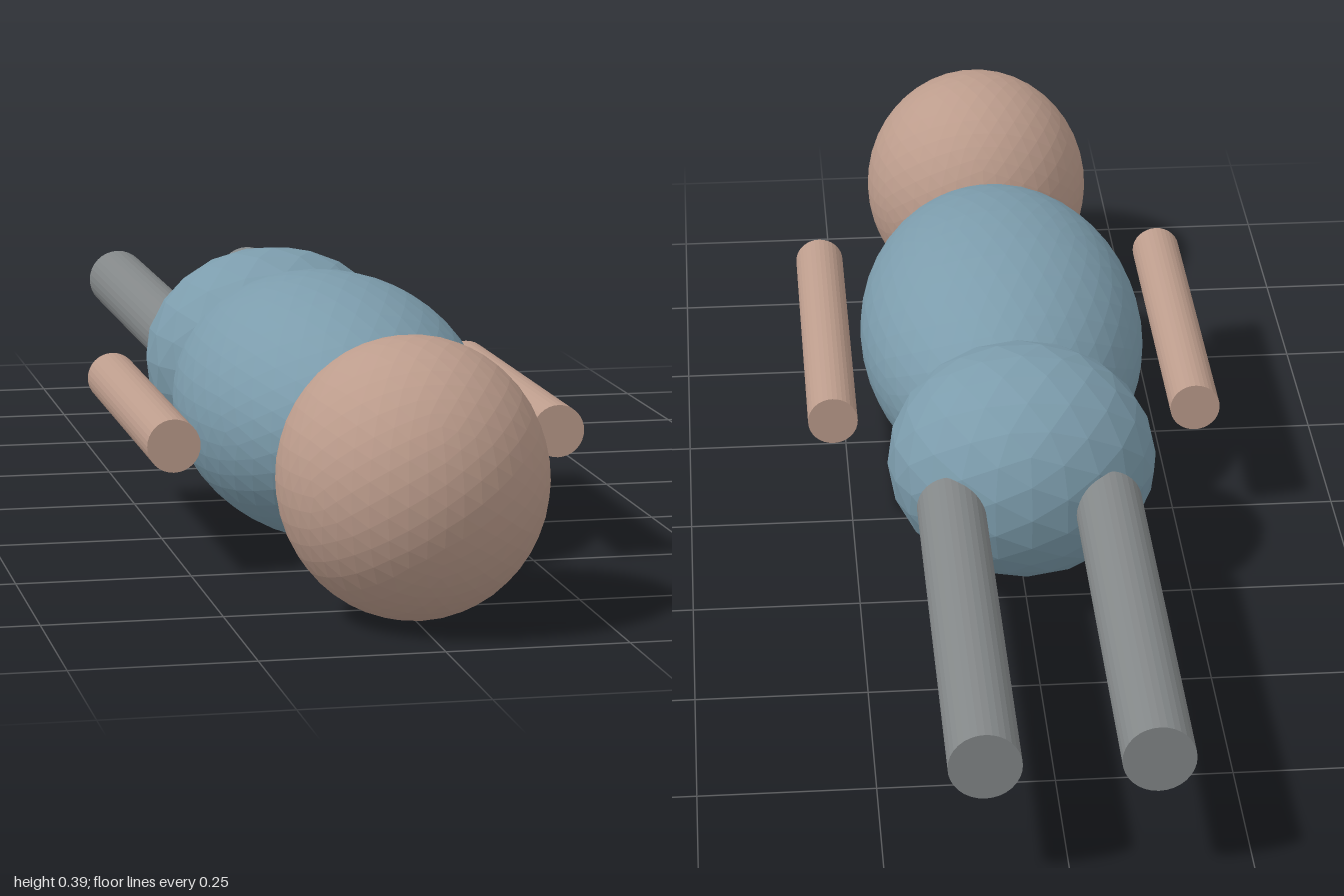
import * as THREE from 'three';

const material = (name, color) => {
  const m = new THREE.MeshStandardMaterial({ color });
  m.name = name;
  m.flatShading = true;
  return m;
};

export function createModel() {
  const group = new THREE.Group();
  const skin = material('skin', 0xbc9c8c);
  const shirt = material('blue cloth', 0x7c9cac);
  const trousers = material('grey cloth', 0x838788);
  const midY = 0.195;

  // Faceted ellipsoid lying on the body axis
  const ellipsoid = (name, mat, z, radii, detail) => {
    const mesh = new THREE.Mesh(new THREE.IcosahedronGeometry(1, detail).scale(...radii), mat);
    mesh.name = name;
    mesh.position.set(0, midY, z);
    group.add(mesh);
  };

  // Straight limb along z
  const limb = (name, mat, x, z0, z1, radius) => {
    const geometry = new THREE.CylinderGeometry(radius, radius, z1 - z0, 32).rotateX(Math.PI / 2);
    const mesh = new THREE.Mesh(geometry, mat);
    mesh.name = name;
    mesh.position.set(x, midY, (z0 + z1) / 2);
    group.add(mesh);
  };

  ellipsoid('head', skin, 0.803, [0.185, 0.193, 0.197], 7);
  ellipsoid('torso', shirt, 0.245, [0.223, 0.193, 0.372], 7);
  ellipsoid('hips', shirt, -0.168, [0.202, 0.173, 0.192], 3);

  // Mirrored arms and legs
  for (const [side, s] of [['left', 1], ['right', -1]]) {
    limb(side + 'Arm', skin, s * 0.278, -0.03, 0.525, 0.038);
    limb(side + 'Leg', trousers, s * 0.116, -1, -0.307, 0.05);
  }
  return group;
}
